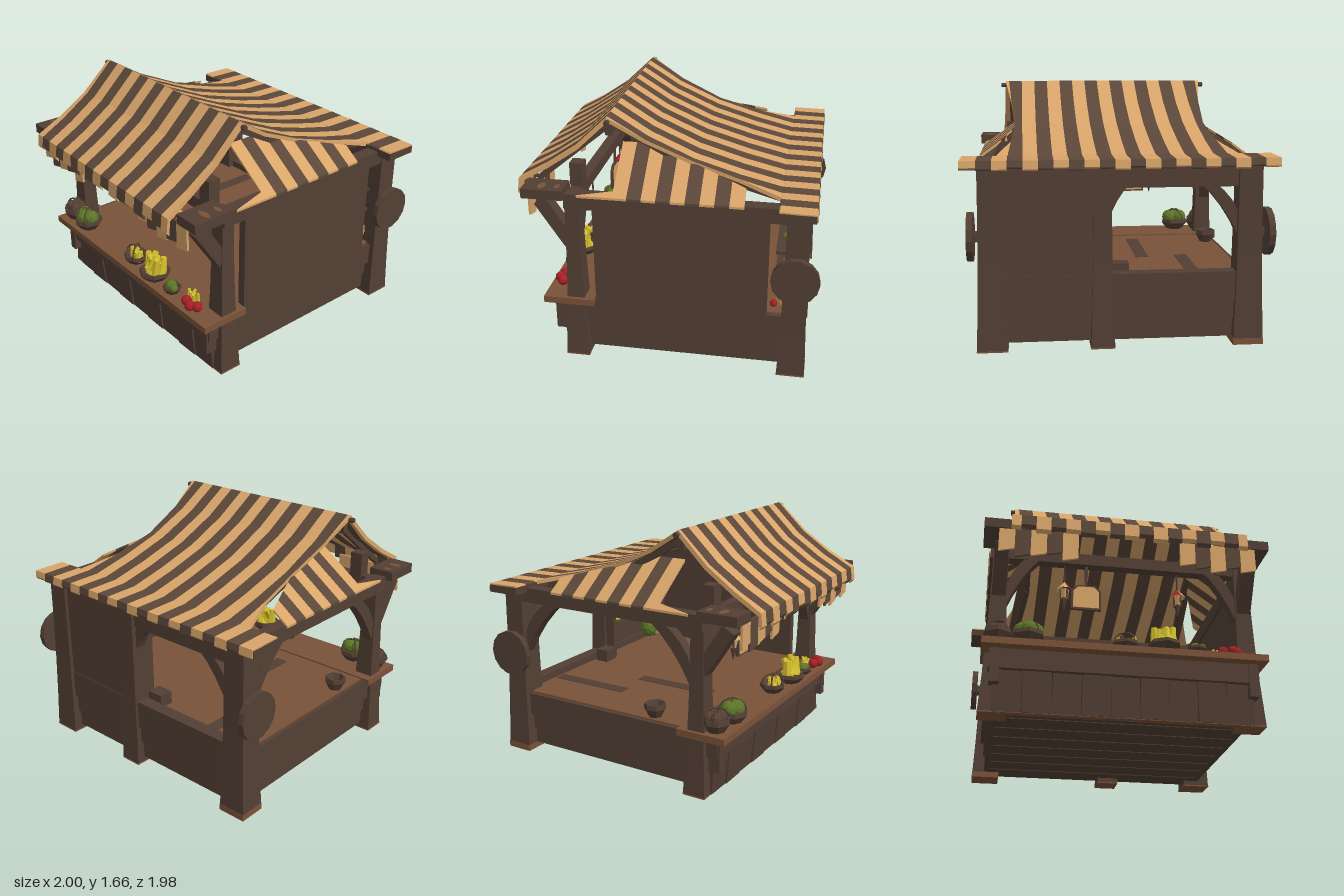
import * as THREE from 'three';
import { mergeGeometries } from 'three/addons/utils/BufferGeometryUtils.js';

const material = (name, color, extra = {}) => new THREE.MeshStandardMaterial({ name, color, ...extra });

export function createModel() {
  const model = new THREE.Group();
  model.name = 'marketStall';
  const wood = material('dark wood', 0x523f34);
  const plank = material('warm counter wood', 0x7a5238);
  const dark = material('brown stripe', 0x5b4739, { side: THREE.DoubleSide });
  const tan = material('tan cloth', 0xd8a469, { side: THREE.DoubleSide });
  const yellow = material('banana yellow', 0xd2be2c);
  const green = material('melon green', 0x5c7526);
  const red = material('apple red', 0xa51f26);

  // Faceted mesh helper
  const add = (name, geo, mat, x = 0, y = 0, z = 0, parent = model) => {
    const g = geo.index ? geo.toNonIndexed() : geo;
    g.computeVertexNormals();
    const m = new THREE.Mesh(g, mat);
    m.name = name;
    m.position.set(x, y, z);
    parent.add(m);
    return m;
  };
  // Box given by its limits
  const box = (name, mat, x0, x1, y0, y1, z0, z1) =>
    add(name, new THREE.BoxGeometry(x1 - x0, y1 - y0, z1 - z0), mat, (x0 + x1) / 2, (y0 + y1) / 2, (z0 + z1) / 2);
  // Post that flares towards a worn, lighter foot
  const post = (name, x, z, w, d, h, flare, worn = 0.008) => {
    const g = new THREE.BoxGeometry(w, h, d, 1, 4, 1);
    const p = g.attributes.position;
    for (let i = 0; i < p.count; i++) {
      const t = 0.5 - p.getY(i) / h;
      const s = 1 + flare * t * t;
      p.setX(i, p.getX(i) * s);
      p.setZ(i, p.getZ(i) * s);
    }
    add(name, g, wood, x, h / 2, z);
    const k = (1 + flare) / 2 + 0.01;
    box('wornFoot', plank, x - w * k, x + w * k, -0.001, worn, z - d * k, z + d * k);
  };
  // Straight beam between two points
  const strut = (name, mat, a, b, t) => {
    const p = new THREE.Vector3(...a), q = new THREE.Vector3(...b);
    const m = add(name, new THREE.BoxGeometry(t, t, p.distanceTo(q)), mat);
    m.position.copy(p).lerp(q, 0.5);
    m.lookAt(q);
  };
  // Curved corner brace: runs from a post out to the beam above it
  const brace = (x, y, z, rotY, w, h) => {
    const s = new THREE.Shape();
    s.moveTo(0, -h);
    s.quadraticCurveTo(w * 0.4, -h * 0.35, w, 0);
    s.lineTo(w - 0.1, 0);
    s.quadraticCurveTo(w * 0.15, -h * 0.25, 0, -h + 0.14);
    const g = new THREE.ExtrudeGeometry(s, { depth: 0.07, bevelEnabled: false, curveSegments: 4 });
    g.translate(0, 0, -0.035);
    add('brace', g, wood, x, y, z).rotation.y = rotY;
  };
  // Loft through closed four-point sections
  const loft = (rings) => {
    const pos = rings.flat(2), idx = [];
    const quad = (a, b, c, d) => idx.push(a, b, c, a, c, d);
    for (let i = 0; i < rings.length - 1; i++)
      for (let k = 0; k < 4; k++) {
        const n = (k + 1) % 4;
        quad(i * 4 + k, i * 4 + n, i * 4 + 4 + n, i * 4 + 4 + k);
      }
    const e = (rings.length - 1) * 4;
    quad(3, 2, 1, 0);
    quad(e, e + 1, e + 2, e + 3);
    const g = new THREE.BufferGeometry();
    g.setAttribute('position', new THREE.Float32BufferAttribute(pos, 3));
    g.setIndex(idx);
    return g.toNonIndexed();
  };
  // Cloth with straight stripes along [z, y, halfWidth] rows, trimmed to each half width;
  // dz pushes the lining inwards
  const cloth = (name, rows, count, thick, dz, ragged) => {
    const sets = [[], []], step = 0.0945;
    for (let i = 0; i < count; i++) {
      const rings = rows.map(([z, y, hw], r) => {
        const edge = (k) => {
          if (k === 0 || k === count) return k ? hw : -hw;
          return THREE.MathUtils.clamp((k - count / 2) * step, -hw, hw);
        };
        const x0 = edge(i), x1 = edge(i + 1);
        const Y = y + (r === rows.length - 1 ? ragged * Math.sin(i * 2.3) : 0);
        return [[x0, Y, z], [x1, Y, z], [x1, Y - thick, z + dz], [x0, Y - thick, z + dz]];
      });
      sets[i % 2].push(loft(rings));
    }
    add(name + 'TanStripes', mergeGeometries(sets[0]), tan);
    add(name + 'BrownStripes', mergeGeometries(sets[1]), dark);
  };

  // Base: floor, underside planks and cladding
  box('floorTop', plank, -0.84, 0.84, 0.39, 0.43, -0.84, 0.6);
  for (const [x, z0, z1] of [[-0.5, -0.78, -0.2], [-0.22, -0.25, 0.35]])
    box('darkFloorBoard', wood, x - 0.045, x + 0.045, 0.428, 0.433, z0, z1);
  for (let i = 0; i < 8; i++)
    box('undersidePlank', wood, -0.82, 0.82, 0.04, 0.06, -0.84 + i * 0.19, -0.664 + i * 0.19);
  for (const s of [-1, 1]) {
    const side = (name, a, b, y0, y1, z0, z1) => box(name, wood, Math.min(s * a, s * b), Math.max(s * a, s * b), y0, y1, z0, z1);
    side('sideLowerBoard', 0.79, 0.83, 0.04, 0.17, -0.8, 0.6);
    side('sideMiddleBoard', 0.79, 0.845, 0.16, 0.27, -0.8, 0.6);
    side('sideUpperBoard', 0.79, 0.87, 0.265, 0.42, -0.8, 0.6);
    side('counterBracket', 0.79, 0.85, 0.17, 0.4, 0.68, 0.76);
  }
  for (let i = 0; i < 9; i++) {
    const w = 1.66 / 9, b = add('frontPlank', new THREE.BoxGeometry(w - 0.004, 0.28, 0.05), wood, -0.83 + w * (i + 0.5), 0.145, 0.68 + (i % 2) * 0.008);
    b.rotation.set(0.1, 0, 0.02 * Math.sin(i * 2));
  }
  box('wornFrontSill', plank, -0.8, 0.8, 0, 0.008, 0.64, 0.69);
  box('frontRail', wood, -0.86, 0.86, 0.265, 0.4, 0.6, 0.75);
  box('backLowerBoard', wood, -0.8, 0.8, 0.04, 0.17, -0.86, -0.8);
  box('backMiddleBoard', wood, -0.8, 0.8, 0.16, 0.29, -0.875, -0.8);
  box('backUpperBoard', wood, -0.8, 0.8, 0.285, 0.48, -0.89, -0.8);
  box('counterTop', plank, -0.91, 0.91, 0.395, 0.44, 0.48, 0.82);

  // Frame: posts, beams, braces, round side shields
  for (const s of [-1, 1]) {
    post('frontPost', s * 0.82, 0.605, 0.1, 0.09, 1.18, 0.75);
    post('backPost', s * 0.82, -0.835, 0.15, 0.14, 1.18, 0.3, s < 0 ? 0.04 : 0.008);
    box('postHead', wood, s * 0.69 - 0.045, s * 0.69 + 0.045, 1.1, 1.34, 0.56, 0.645);
    box('frontArm', wood, s * 0.85 - 0.09, s * 0.85 + 0.09, 1.165, 1.23, 0.64, 0.91);
    for (const [z, r] of [[0.69, 0.035], [0.79, 0.05]])
      add('wornPatch', new THREE.CylinderGeometry(r, r, 0.004, 7), plank, s * 0.87, 1.231, z).scale.z = 0.5;
    box('sideBeam', wood, s * 0.845 - 0.045, s * 0.845 + 0.045, 1.09, 1.19, -0.8, 0.65);
    strut('armBrace', wood, [s * 0.82, 0.83, 0.625], [s * 0.82, 1.12, 0.815], 0.09);
    brace(s * 0.78, 1.13, 0.605, s > 0 ? Math.PI : 0, 0.24, 0.4);
    const shield = add('roundShield', new THREE.CylinderGeometry(0.155, 0.155, 0.04, 14), wood, s * 0.945, 0.73, -0.835);
    shield.rotation.z = Math.PI / 2;
    box('shieldPeg', wood, s * 0.91 - 0.04, s * 0.91 + 0.04, 0.7, 0.76, -0.865, -0.805);
    // Rafters under the cloth
    strut('frontRafter', wood, [s * 0.62, 1.56, 0.42], [s * 0.66, 1.19, 0.88], 0.035);
    strut('backRafter', wood, [s * 0.62, 1.58, 0.36], [s * 0.6, 1.3, -0.15], 0.04);
    strut('lowerRafter', wood, [s * 0.6, 1.3, -0.15], [s * 0.66, 1.16, -0.74], 0.04);
  }
  box('frontBeam', wood, -0.82, 0.82, 1.1, 1.18, 0.57, 0.64);
  box('backBeam', wood, -1, 1, 1.16, 1.21, -0.943, -0.715);
  box('backLintel', wood, -0.8, 0.8, 1.03, 1.16, -0.88, -0.8);
  post('middlePost', 0.12, -0.845, 0.11, 0.11, 1.16, 0.4);
  brace(-0.76, 1.05, -0.835, 0, 0.26, 0.36);
  brace(0.08, 1.05, -0.835, Math.PI, 0.13, 0.22);
  brace(-0.83, 1.11, -0.77, -Math.PI / 2, 0.32, 0.4);
  brace(-0.83, 1.11, 0.56, Math.PI / 2, 0.32, 0.4);
  const ridge = add('ridgePole', new THREE.CylinderGeometry(0.018, 0.018, 1.53, 6), wood, 0, 1.63, 0.385);
  ridge.rotation.z = Math.PI / 2;
  box('ridgeBeam', wood, -0.7, 0.7, 1.53, 1.6, 0.365, 0.41);

  // Walls and shelves
  box('sideWall', wood, 0.82, 0.875, 0.42, 1.17, -0.66, 0.47);
  box('backWall', wood, 0.12, 0.8, 0.44, 1.16, -0.885, -0.82);
  box('shelfEnd', wood, 0.08, 0.115, 0.43, 1.08, -0.82, -0.71);
  for (const y of [0.68, 0.84]) box('shelf', wood, 0.11, 0.81, y, y + 0.02, -0.82, -0.7);

  // Roof cloths
  cloth('awning', [[0.39, 1.66, 0.735], [0.6, 1.46, 0.745], [0.8, 1.325, 0.755], [0.98, 1.225, 0.77], [0.99, 1.14, 0.77]], 17, 0.022, -0.018, 0.015);
  cloth('backRoof', [[0.39, 1.66, 0.735], [0.15, 1.51, 0.69], [-0.15, 1.375, 0.665], [-0.45, 1.285, 0.69], [-0.74, 1.215, 0.79]], 17, 0.022, 0.012, 0);
  cloth('eaves', [[-0.72, 1.222, 0.995], [-0.945, 1.217, 0.998], [-0.952, 1.168, 0.998]], 21, 0.009, 0.006, 0.008);
  for (const s of [-1, 1]) {
    // Sloping side cloths, tucked under the main roof
    const w = 0.83 / 9;
    const top = (z) => Math.min(1.44, 1.27 + Math.max(0, z + 0.5) * 0.27);
    const ring = (z, y) => {
      const x = 0.9 - (y - 1.19) / 0.72;
      return [[s * 0.9, 1.19, z], [s * x, y, z], [s * x, y - 0.015, z], [s * 0.9, 1.175, z]];
    };
    for (let i = 0; i < 9; i++) {
      const z0 = 0.33 - i * w, z1 = z0 - w;
      add('sideCloth', loft([ring(z0, top(z0)), ring(z1, top(z1))]), i % 2 ? dark : tan);
    }
    add('sideClothCorner', loft([ring(0.56, 1.192), ring(0.33, 1.22)]), tan);
    // Hanging front valances
    for (let i = 0; i < 5; i++) {
      const x = s * (0.385 + i * 0.102), low = 0.995 + 0.02 * Math.sin(i * 2.1 + s);
      const g = [1.17, low].map((y, r) => [-1, 1, 1, -1].map((c, k) => [x + c * 0.051, y + r * c * 0.012, k < 2 ? 0.9 : 0.885]));
      add('valance', loft(g), i % 2 ? dark : tan);
    }
  }

  // Goods
  const bowl = (x, y, z, r, h, handled) => {
    const pts = [[0, 0], [r * 0.6, 0], [r, h * 0.65], [r * 0.95, h], [r * 0.82, h], [r * 0.5, h * 0.4], [0, h * 0.4]];
    add('bowl', new THREE.LatheGeometry(pts.map((p) => new THREE.Vector2(...p)), 7), wood, x, y, z);
    if (handled)
      for (const a of [0.35, -0.9])
        add('basketHoop', new THREE.TorusGeometry(r * 0.9, 0.006, 4, 7, Math.PI), wood, x, y + h * 0.8, z).rotation.y = a;
  };
  const fruit = (name, mat, x, y, z, r, sy = 1) =>
    add(name, new THREE.IcosahedronGeometry(r, 1), mat, x, y, z).scale.set(1, sy, 1);
  // Dense bunch of plump tapered bananas
  const bananas = (x, y, z, n, h, spread) => {
    for (let i = 0; i < n; i++) {
      const t = i / (n - 1) - 0.5;
      const m = add('banana', new THREE.CylinderGeometry(h * 0.16, h * 0.32, h, 6), yellow, x + t * spread, y + 0.012 * Math.sin(i * 4), z + 0.025 * Math.sin(i * 3));
      m.rotation.set(0.4 * Math.sin(i * 2.2), i, 0.4 * Math.sin(i * 5) - 0.2 * t);
    }
  };
  bowl(-0.81, 0.44, 0.71, 0.095, 0.09, true);
  for (let i = 0; i < 4; i++) fruit('nut', wood, -0.84 + 0.05 * (i % 2), 0.53, 0.68 + 0.05 * (i >> 1), 0.045);
  bowl(-0.62, 0.44, 0.72, 0.105, 0.08, true);
  for (let i = 0; i < 3; i++) fruit('melon', green, -0.66 + 0.04 * i, 0.535, 0.72 + 0.03 * (i % 2), 0.058);
  bowl(0, 0.44, 0.71, 0.09, 0.065, true);
  bananas(0.005, 0.5, 0.71, 6, 0.075, 0.1);
  bowl(0.25, 0.44, 0.73, 0.11, 0.07);
  bananas(0.25, 0.55, 0.73, 9, 0.13, 0.12);
  bowl(0.46, 0.44, 0.74, 0.065, 0.05);
  fruit('lime', green, 0.45, 0.485, 0.74, 0.04);
  fruit('lime', green, 0.49, 0.485, 0.75, 0.03);
  for (const [x, z] of [[0.63, 0.75], [0.69, 0.77], [0.73, 0.74]]) fruit('apple', red, x, 0.47, z, 0.036);
  bananas(0.62, 0.475, 0.69, 5, 0.065, 0.07);
  bowl(-0.78, 0.43, 0.24, 0.075, 0.09);
  box('crate', wood, -0.06, 0.06, 0.43, 0.52, -0.78, -0.68);
  fruit('gourd', green, 0.67, 0.52, -0.77, 0.07, 1.2);
  fruit('sack', tan, 0.76, 0.51, -0.76, 0.05, 1.6);
  fruit('apple', red, 0.79, 0.47, -0.7, 0.025);
  fruit('shelfMelon', green, 0.23, 0.92, -0.765, 0.058, 1.15);
  fruit('shelfHerb', green, 0.62, 0.88, -0.76, 0.03, 0.7);
  bananas(0.39, 0.722, -0.765, 13, 0.07, 0.28);
  for (const x of [0.15, 0.19, 0.66, 0.72]) fruit('shelfFruit', x < 0.3 ? yellow : plank, x, 0.715, -0.76, 0.03, 0.7);

  // Hanging lanterns with two-tone caps
  for (const [x, y] of [[-0.39, 0.9], [0.38, 0.91]]) {
    const g = new THREE.Group();
    g.name = 'lantern';
    g.position.set(x, y, 0.6);
    const turn = x < 0 ? 0.4 : Math.PI + 0.2;
    [red, tan].forEach((m, i) =>
      add('lanternCap', new THREE.ConeGeometry(0.055, 0.065, 4, 1, true, turn + i * Math.PI, Math.PI), m, 0, 0.045, 0, g));
    add('lanternGlass', new THREE.CylinderGeometry(0.036, 0.022, 0.06, 6), tan, 0, -0.018, 0, g);
    for (const a of [0, 1, 2, 3])
      add('lanternBar', new THREE.BoxGeometry(0.01, 0.06, 0.01), wood, 0.032 * Math.sin(a * 1.57 + 0.5), -0.018, 0.032 * Math.cos(a * 1.57 + 0.5), g);
    add('lanternTip', new THREE.ConeGeometry(0.024, 0.09, 5), wood, 0, -0.095, 0, g).rotation.x = Math.PI;
    add('lanternCord', new THREE.CylinderGeometry(0.006, 0.006, 0.13, 4), wood, 0, 0.14, 0, g);
    model.add(g);
  }
  // Blank sign board
  const sign = (r) => {
    const s = new THREE.Shape([[-r, -0.09], [r, -0.09], [r, 0.05], [r * 0.6, 0.09], [-r * 0.6, 0.09], [-r, 0.05]].map((p) => new THREE.Vector2(...p)));
    return new THREE.ExtrudeGeometry(s, { depth: 0.02, bevelEnabled: false });
  };
  add('signFrame', sign(0.1), wood, -0.245, 0.865, 0.595);
  add('signFace', sign(0.1).scale(0.86, 0.86, 1.5), tan, -0.245, 0.865, 0.59);
  box('signCord', wood, -0.255, -0.235, 0.95, 1.11, 0.595, 0.61);
  return model;
}
